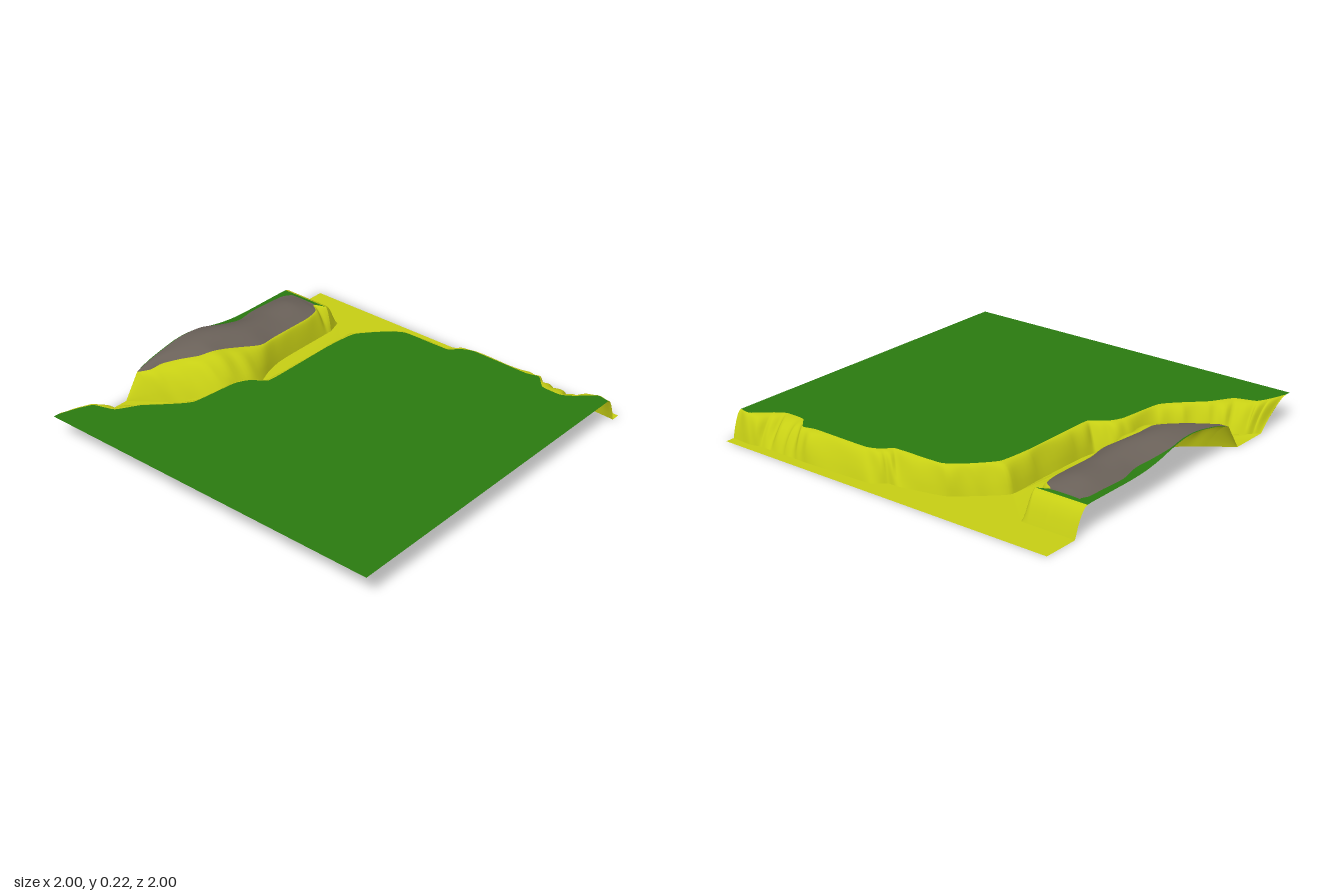
import * as THREE from 'three';

const TOP = 0.138;
const GREEN = 0x2a7a10, YELLOW = 0xc6ce14, ROCK = 0x6a6159;

// Cliff around the plateau, pairs of rim x, z and foot x, z
const CLIFF = [
  [1, -0.89, 1, -0.95], [0.93, -0.9, 0.88, -0.955], [0.84, -0.82, 0.82, -0.94], [0.78, -0.785, 0.75, -0.94],
  [0.67, -0.79, 0.66, -0.94], [0.6, -0.86, 0.58, -0.94], [0.52, -0.845, 0.5, -0.94], [0.2, -0.85, 0.12, -0.925],
  [0.12, -0.82, 0.04, -0.87], [0.07, -0.775, -0.03, -0.865], [-0.2, -0.77, -0.26, -0.81], [-0.3, -0.7, -0.38, -0.71],
  [-0.4, -0.58, -0.485, -0.6], [-0.42, -0.4, -0.485, -0.4], [-0.42, -0.1, -0.485, -0.1], [-0.425, 0.06, -0.5, 0.02],
  [-0.5, 0.12, -0.57, 0.08], [-0.54, 0.2, -0.6, 0.18], [-0.57, 0.45, -0.635, 0.38], [-0.65, 0.55, -0.71, 0.49],
  [-0.75, 0.65, -0.8, 0.58], [-0.82, 0.76, -0.87, 0.62], [-0.93, 0.8, -0.94, 0.67], [-0.97, 0.88, -0.97, 0.71],
  [-1, 0.97, -1, 0.74],
];

// Hill rows: z, x where rock starts, rim x, foot x, height at the left edge, ridge height, rim height
const HILL = [
  [-0.71, -0.95, -0.71, -0.67, 0.138, 0.138, 0.138],
  [-0.68, -0.94, -0.77, -0.67, 0.14, 0.145, 0.14],
  [-0.64, -0.96, -0.72, -0.67, 0.14, 0.16, 0.14],
  [-0.55, -0.965, -0.7, -0.67, 0.14, 0.18, 0.138],
  [-0.4, -0.97, -0.7, -0.67, 0.14, 0.178, 0.138],
  [-0.28, -0.95, -0.7, -0.665, 0.145, 0.19, 0.138],
  [-0.17, -0.97, -0.69, -0.64, 0.16, 0.205, 0.145],
  [-0.06, -0.995, -0.73, -0.595, 0.185, 0.22, 0.165],
  [0.02, -0.995, -0.76, -0.585, 0.2, 0.224, 0.18],
  [0.1, -0.995, -0.78, -0.605, 0.205, 0.22, 0.193],
  [0.17, -0.995, -0.81, -0.625, 0.2, 0.21, 0.185],
  [0.24, -0.995, -0.87, -0.67, 0.188, 0.198, 0.175],
  [0.32, -0.995, -0.93, -0.75, 0.172, 0.178, 0.16],
  [0.38, -0.997, -0.95, -0.82, 0.155, 0.16, 0.145],
  [0.43, -0.999, -0.995, -0.88, 0.136, 0.136, 0.135],
];

// The stream bed rises slightly where the channel narrows
const bedY = (z) => 0.045 * Math.exp(-(((z - 0.17) / 0.065) ** 4));
const rim = (t) => Math.sin(t * Math.PI / 2) ** 0.85;

function addMesh(parent, name, geometry, color) {
  geometry.computeVertexNormals();
  const mesh = new THREE.Mesh(geometry, new THREE.MeshStandardMaterial({ color, side: THREE.DoubleSide }));
  mesh.name = name;
  parent.add(mesh);
}

// Joins equal rows of points into one surface
function loft(rows) {
  const n = rows[0].length, index = [];
  for (let i = 0; i < rows.length - 1; i++) {
    for (let j = 0; j < n - 1; j++) {
      const a = i * n + j, b = a + n;
      index.push(a, b, a + 1, a + 1, b, b + 1);
    }
  }
  const g = new THREE.BufferGeometry();
  g.setAttribute('position', new THREE.Float32BufferAttribute(rows.flat(2), 3));
  g.setIndex(index);
  return g;
}

// Level sheet inside an outline of [x, z] points
function sheet(outline, height) {
  const g = new THREE.ShapeGeometry(new THREE.Shape(outline.map(([x, z]) => new THREE.Vector2(x, -z))));
  g.rotateX(-Math.PI / 2);
  const p = g.attributes.position;
  for (let i = 0; i < p.count; i++) p.setY(i, height(p.getZ(i)));
  return g;
}

function smoothLine(points, count) {
  const curve = new THREE.CatmullRomCurve3(points.map(([x, z]) => new THREE.Vector3(x, 0, z)), false, 'catmullrom', 0.25);
  return Array.from({ length: count + 1 }, (_, i) => {
    const p = curve.getPoint(i / count);
    return [Math.min(1, Math.max(-1, p.x)), p.z];
  });
}

export function createModel() {
  const group = new THREE.Group();
  group.name = 'terrain';

  // Plateau
  const N = 192;
  const rimLine = smoothLine(CLIFF.map((c) => [c[0], c[1]]), N);
  const footLine = smoothLine(CLIFF.map((c) => [c[2], c[3]]), N);
  addMesh(group, 'plateau', sheet([...rimLine, [-1, 1], [1, 1]], () => TOP), GREEN);

  // Cliff with lightly fluted face and rounded rim
  const steps = 8;
  const cliff = rimLine.map(([rx, rz], i) => {
    const [fx, fz] = footLine[i];
    return Array.from({ length: steps + 1 }, (_, j) => {
      const t = j / steps;
      const flute = 0.08 * Math.sin(t * Math.PI) * (Math.sin(i * 0.9) + Math.sin(i * 0.37));
      const s = t + flute;
      const base = bedY(fz);
      return [fx + (rx - fx) * s, base + (TOP - base) * rim(t), fz + (rz - fz) * s];
    });
  });
  addMesh(group, 'cliff', loft(cliff), YELLOW);

  // Hill rows, smoothed along z
  const hillCurves = [1, 2, 3, 4, 5, 6].map((k) =>
    new THREE.CatmullRomCurve3(HILL.map((r) => new THREE.Vector3(r[k], 0, r[0])), false, 'catmullrom', 0.4));
  const M = (HILL.length - 1) * 4;
  const rows = Array.from({ length: M + 1 }, (_, i) => {
    const p = hillCurves.map((c) => c.getPoint(i / M));
    return [p[0].z, ...p.map((q) => q.x)];
  });

  const grass = [], rock = [], slope = [], hillFoot = [];
  rows.forEach(([z, gx, rx, fx, ly, ry, my], i) => {
    const startY = ly + (ry - ly) * 0.15;
    grass.push([[-1, ly, z], [gx, startY, z]]);
    rock.push(Array.from({ length: 9 }, (_, j) => {
      const t = j / 8;
      const y = startY + (my - startY) * t + (ry - (startY + my) / 2) * Math.sin(t * Math.PI);
      return [gx + (rx - gx) * t, y, z];
    }));
    slope.push(Array.from({ length: 9 }, (_, j) => {
      const t = j / 8, base = bedY(z);
      const s = t + 0.04 * Math.sin(t * Math.PI) * Math.sin(i * 1.1);
      return [rx + (fx - rx) * s, base + (my - base) * rim(1 - t), z];
    }));
    hillFoot.push([fx, z]);
  });
  const hill = new THREE.Group();
  hill.name = 'hill';
  group.add(hill);
  addMesh(hill, 'hillGrass', loft(grass), GREEN);
  // Grassy ledge behind the rock
  const rockTop = loft(rock.slice(3)), ledge = loft(rock.slice(0, 4));
  addMesh(hill, 'hillRock', rockTop, ROCK);
  addMesh(hill, 'hillLedge', ledge, GREEN);
  addMesh(hill, 'hillSlope', loft(slope), YELLOW);

  // Slopes closing the back and front ends of the hill
  const first = [...grass[0], ...rock[0].slice(1), ...slope[0].slice(1)];
  const last = [...grass[M], ...rock[M].slice(1), ...slope[M].slice(1)];
  const back = [0, 0.25, 0.5, 0.75, 1].map((t) =>
    first.map(([x, y, z]) => [x - 0.03 * (1 - t) * (x > -0.8 ? 1 : 0), y * rim(t), -0.8 + (z + 0.8) * t]));
  const front = [0, 0.25, 0.5, 0.75, 1].map((t) =>
    last.map(([x, y, z]) => [x + (-1 - x) * t, y * (1 - t), z + (0.52 - z) * t]));
  addMesh(hill, 'hillBackSlope', loft(back), YELLOW);
  addMesh(hill, 'hillFrontSlope', loft(front), YELLOW);

  // Stream bed between the cliff and the hill
  const bed = [[-1, -1], [1, -1], ...footLine, [-1, 0.52], ...hillFoot.reverse(), [-0.7, -0.8], [-1, -0.8]];
  addMesh(group, 'streamBed', sheet(bed, bedY), YELLOW);

  return group;
}
